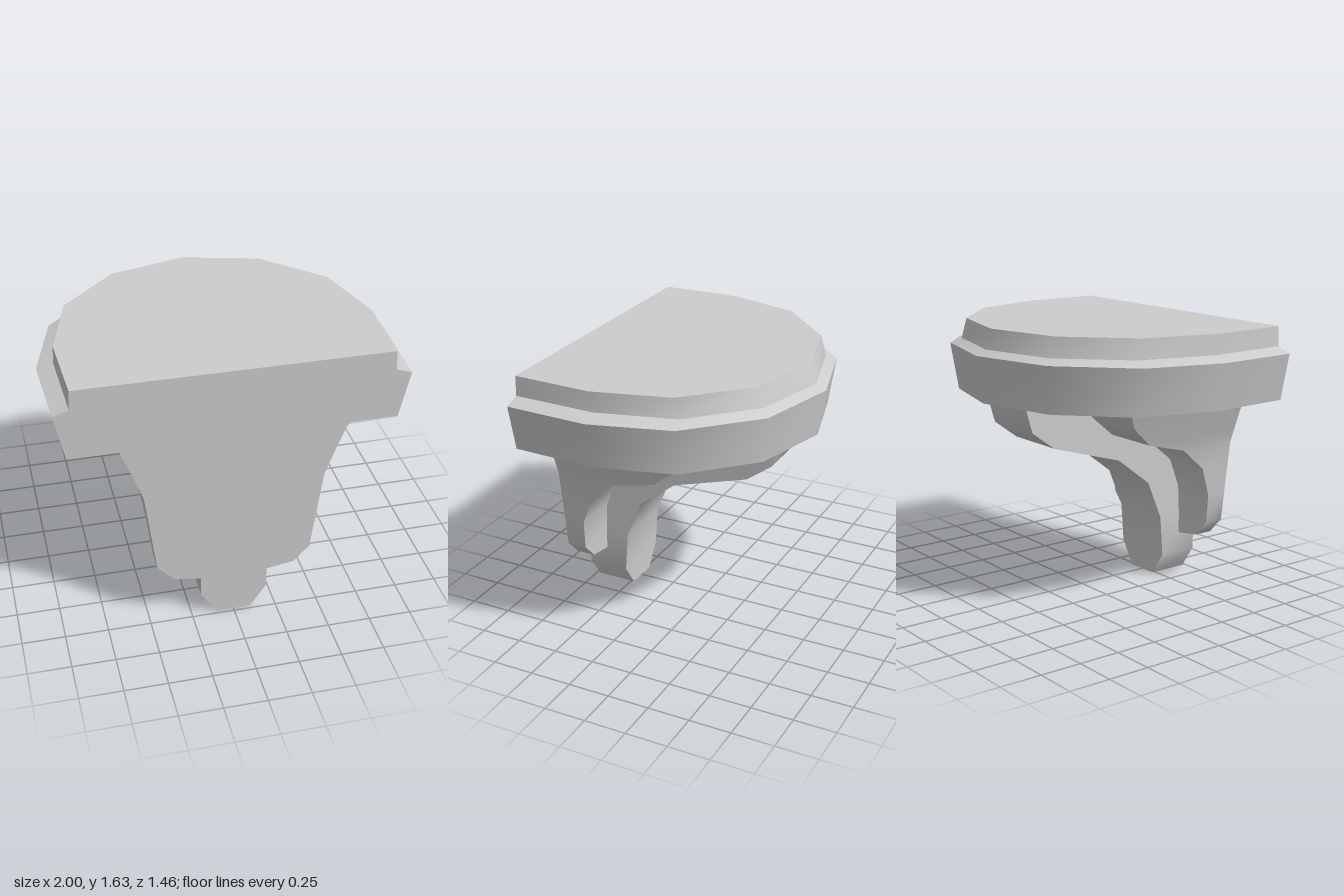
import * as THREE from 'three';
import { toCreasedNormals } from 'three/addons/utils/BufferGeometryUtils.js';

const WALL = 0.73; // z of the flat face

// Skins a stack of convex rings (counter-clockwise seen from above) and caps both ends
function loft(rings) {
  const n = rings[0].length;
  const index = [];
  for (let i = 0; i < rings.length - 1; i++) {
    for (let j = 0; j < n; j++) {
      const a = i * n + j, b = i * n + (j + 1) % n;
      index.push(a, b, b + n, a, b + n, a + n);
    }
  }
  const top = (rings.length - 1) * n;
  for (let j = 1; j < n - 1; j++) {
    index.push(0, j + 1, j);
    index.push(top, top + j, top + j + 1);
  }
  const geometry = new THREE.BufferGeometry();
  geometry.setAttribute('position', new THREE.Float32BufferAttribute(rings.flat(2), 3));
  geometry.setIndex(index);
  return toCreasedNormals(geometry, THREE.MathUtils.degToRad(40));
}

// Half outline [x, z] from the wall round to the middle, mirrored into a ring
function shelfRing(y, half) {
  const mirrored = half.slice(0, -1).reverse().map(([x, z]) => [-x, z]);
  return [...half, ...mirrored].map(([x, z]) => [x, y, z]);
}

// Rectangular slice of a support: half width w, reaching from the wall to z
function supportRing([y, w, z]) {
  return [[w, y, WALL], [w, y, z], [-w, y, z], [-w, y, WALL]];
}

export function createModel() {
  const group = new THREE.Group();
  group.name = 'wallBracket';
  const stone = new THREE.MeshStandardMaterial({ color: 0xcccccc });
  stone.name = 'stone grey';

  const add = (name, rings) => {
    const mesh = new THREE.Mesh(loft(rings), stone);
    mesh.name = name;
    group.add(mesh);
  };

  // Rounded shelf: sloping rim, narrow ledge, raised top
  add('shelf', [
    shelfRing(1.215, [[0.92, WALL], [0.94, 0.23], [0.82, -0.22], [0.47, -0.565], [0, -0.69]]),
    shelfRing(1.49, [[0.98, WALL], [1.0, 0.23], [0.87, -0.235], [0.5, -0.6], [0, -0.73]]),
    shelfRing(1.52, [[0.89, WALL], [0.905, 0.235], [0.785, -0.215], [0.45, -0.55], [0, -0.668]]),
    shelfRing(1.635, [[0.885, WALL], [0.903, 0.26], [0.782, -0.185], [0.45, -0.515], [0, -0.633]]),
  ]);

  // Central curved support: [y, half width, z of its curved face]
  add('centreSupport', [
    [0, 0.1, 0.48], [0.14, 0.195, 0.48], [0.39, 0.195, 0.46], [0.625, 0.195, 0.36],
    [0.8, 0.195, 0.13], [0.94, 0.195, -0.34], [1.05, 0.195, -0.49], [1.215, 0.195, -0.54],
  ].map(supportRing));

  // Wider, shallower support behind it, forming both side wings
  add('sideSupports', [
    [0.265, 0.195, 0.61], [0.29, 0.355, 0.61], [0.39, 0.45, 0.61], [0.57, 0.473, 0.6],
    [0.75, 0.496, 0.53], [0.89, 0.515, 0.36], [0.965, 0.542, 0.08], [1.09, 0.588, -0.07],
    [1.215, 0.64, -0.14],
  ].map(supportRing));

  return group;
}
